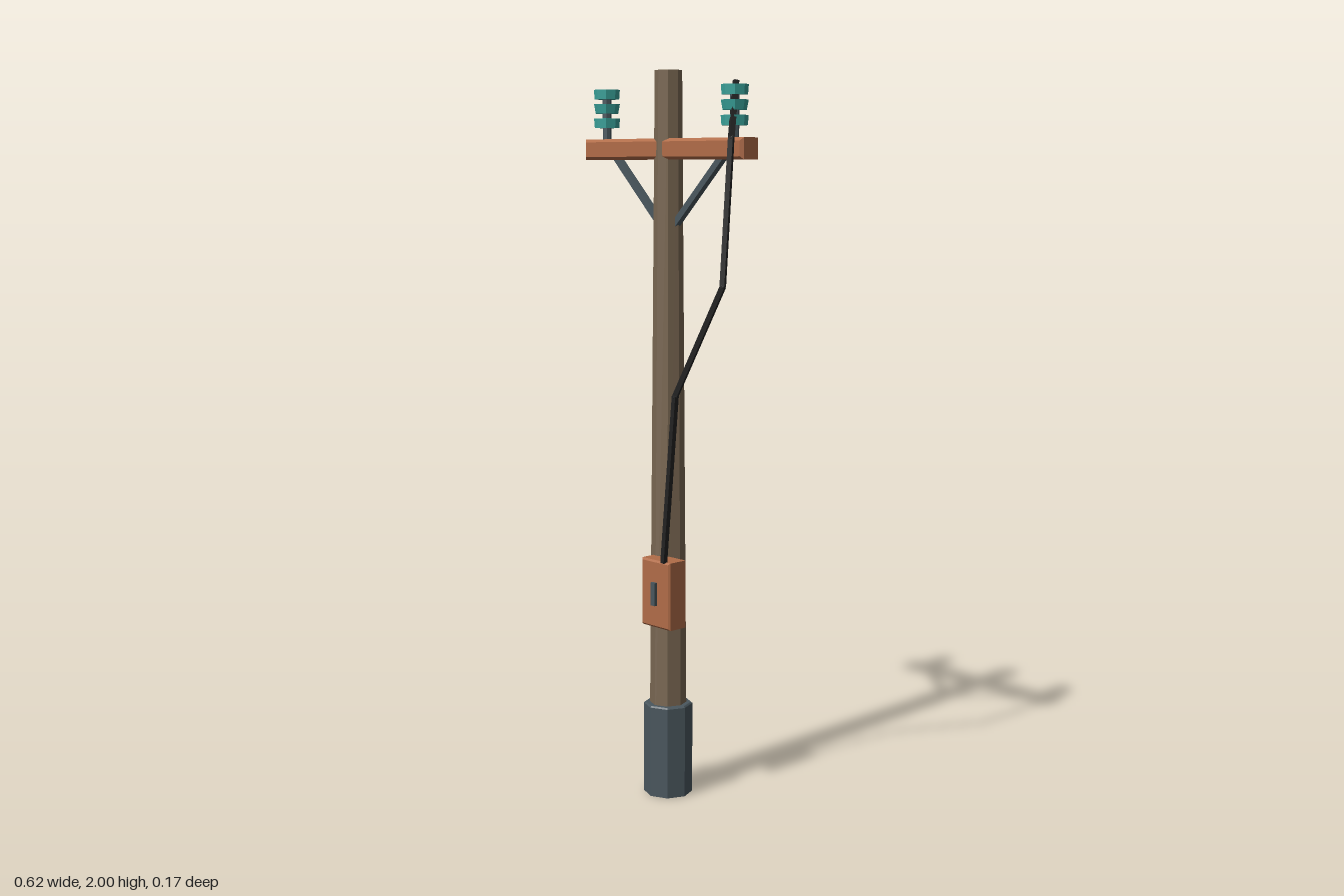
import * as THREE from 'three';

const mat = (color) => new THREE.MeshStandardMaterial({ color, flatShading: true });
const V = (x, y, z) => new THREE.Vector3(x, y, z);
const Z = -0.015; // depth of the pole axis

export function createModel() {
  const root = new THREE.Group();
  const wood = mat(0x7a6853), rust = mat(0xb06c48), steel = mat(0x4a575e);
  const teal = mat(0x3aa59d), rubber = mat(0x222222);

  const add = (name, geometry, material, x = 0, y = 0, z = 0, parent = root) => {
    const mesh = new THREE.Mesh(geometry, material);
    mesh.name = name;
    mesh.position.set(x, y, z);
    parent.add(mesh);
    return mesh;
  };

  // Box with chamfered edges, centred on its origin
  const chamferBox = (w, h, d, b) => {
    const x = w / 2 - b, y = h / 2 - b;
    const shape = new THREE.Shape([[-x, -y], [x, -y], [x, y], [-x, y]].map((p) => new THREE.Vector2(...p)));
    return new THREE.ExtrudeGeometry(shape, {
      depth: d - 2 * b, bevelEnabled: true, bevelSegments: 1, bevelSize: b, bevelThickness: b,
    }).translate(0, 0, b - d / 2);
  };

  // Bar running from a to b
  const bar = (name, a, b, radius, sides, material, parent = root) => {
    const dir = b.clone().sub(a);
    const geometry = new THREE.CylinderGeometry(radius, radius, dir.length(), sides, 1, false, Math.PI / sides);
    const mesh = add(name, geometry, material, 0, 0, 0, parent);
    mesh.position.copy(a).add(b).multiplyScalar(0.5);
    mesh.quaternion.setFromUnitVectors(V(0, 1, 0), dir.normalize());
  };

  // Tapered octagonal pole in a footing sleeve
  add('pole', new THREE.CylinderGeometry(0.0366, 0.053, 2, 8), wood, 0, 1, Z);
  const sleeve = [[0.05, 0], [0.068, 0], [0.068, 0.257], [0.064, 0.261], [0.046, 0.261]];
  add('footing', new THREE.LatheGeometry(sleeve.map((p) => new THREE.Vector2(...p)), 8), steel, 0, 0, Z);

  // Crossarm
  add('crossarm', chamferBox(0.618, 0.056, 0.067, 0.008), rust, 0, 1.793, Z);

  // Braces and insulators on both sides
  for (const s of [-1, 1]) {
    const side = s > 0 ? 'left' : 'right';
    bar(side + 'Brace', V(s * 0.21, 1.775, Z), V(s * 0.022, 1.587, Z), 0.0125, 4, steel);

    const insulator = new THREE.Group();
    insulator.name = side + 'Insulator';
    insulator.position.set(s * 0.249, 1.82, Z);
    root.add(insulator);
    add('pin', new THREE.CylinderGeometry(0.012, 0.012, 0.13, 8), steel, 0, 0.06, 0, insulator);
    [0.045, 0.084, 0.123].forEach((y, i) =>
      add('disc', new THREE.CylinderGeometry(0.036, i === 1 ? 0.031 : 0.034, 0.026, 8), teal, 0, y, 0, insulator));
  }

  // Control box with its handle
  add('controlBox', chamferBox(0.112, 0.188, 0.066, 0.005), rust, 0.044, 0.593, 0.042);
  add('boxHandle', new THREE.BoxGeometry(0.017, 0.064, 0.014), steel, 0.043, 0.594, 0.077);

  // Cable from the left insulator down to the box
  const cable = new THREE.Group();
  cable.name = 'cable';
  root.add(cable);
  const path = [
    V(0.248, 1.965, -0.02), V(0.278, 1.82, 0.026), V(0.267, 1.44, 0.043),
    V(0.12, 1.145, 0.072), V(0.075, 0.685, 0.072),
  ];
  path.slice(1).forEach((p, i) => {
    bar('cableSegment', path[i], p, 0.0095, 4, rubber, cable);
    if (i < path.length - 2) add('cableJoint', new THREE.IcosahedronGeometry(0.0088), rubber, p.x, p.y, p.z, cable);
  });

  return root;
}
